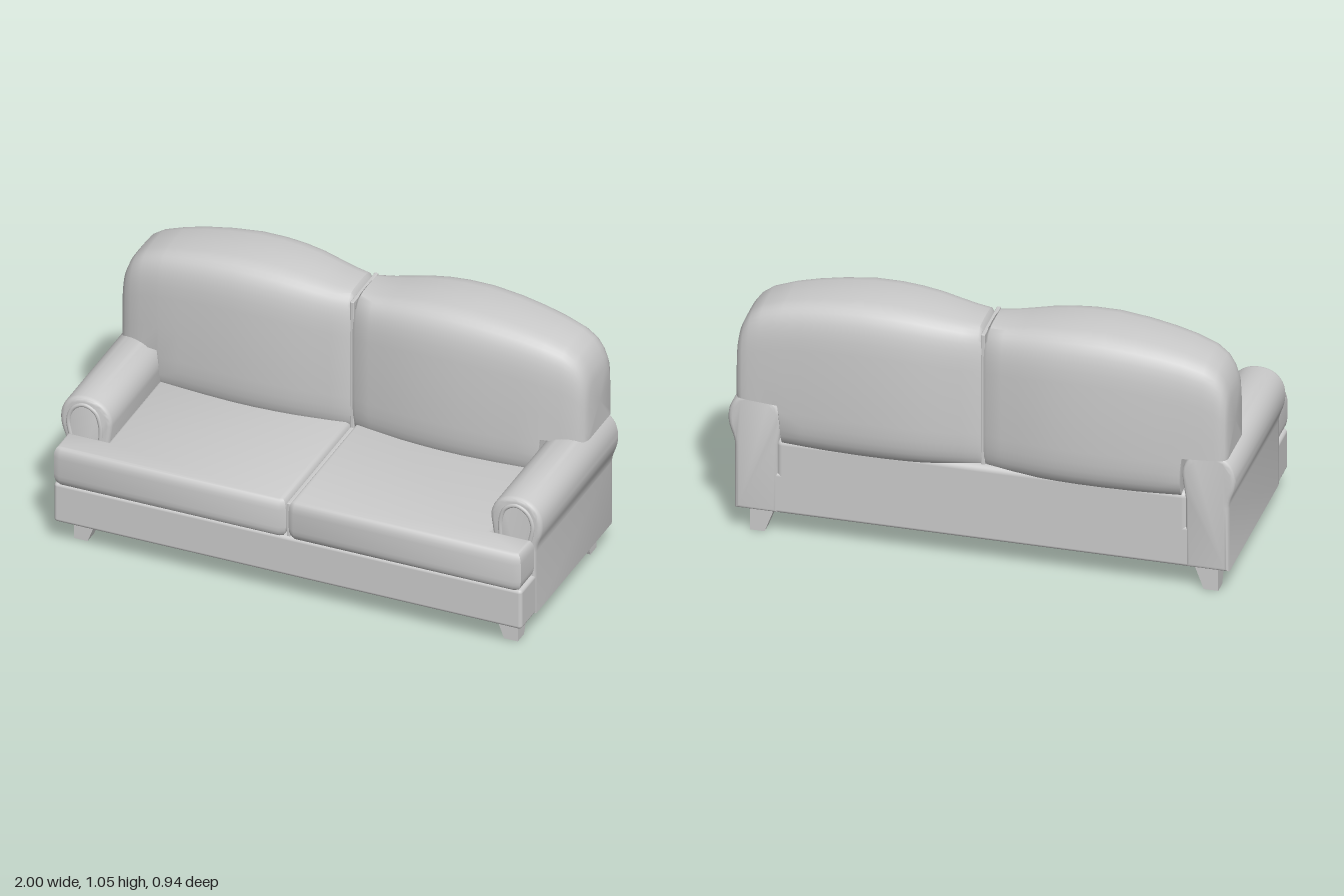
import * as THREE from 'three';
import { toCreasedNormals } from 'three/addons/utils/BufferGeometryUtils.js';
import { RoundedBoxGeometry } from 'three/addons/geometries/RoundedBoxGeometry.js';

const material = new THREE.MeshStandardMaterial({ color: 0xcccccc });

// Mirror a geometry in x, swapping corners so faces still point outwards
function mirrorX(geometry) {
  const g = geometry.index ? geometry.toNonIndexed() : geometry.clone();
  for (const name of ['position', 'normal']) {
    const a = g.attributes[name];
    for (let i = 0; i < a.count; i += 3) {
      const p = [0, 2, 1].map(k => [-a.getX(i + k), a.getY(i + k), a.getZ(i + k)]);
      p.forEach((v, k) => a.setXYZ(i + k, ...v));
    }
  }
  return g;
}

// Loft rounded-rectangle sections along x: [x, top, front z, back z, floor y]
function loft(sections, bottom, power, n = 40) {
  const pos = [], index = [];
  const soft = v => Math.sign(v) * Math.pow(Math.abs(v), 2 / power);
  for (const [x, top, zf, zb, floor = 0] of sections) {
    for (let j = 0; j < n; j++) {
      const a = (j / n) * Math.PI * 2;
      const y = (top + bottom) / 2 + soft(Math.sin(a)) * (top - bottom) / 2;
      pos.push(x, Math.max(y, floor), (zf + zb) / 2 + soft(Math.cos(a)) * (zf - zb) / 2);
    }
  }
  const last = sections.length - 1;
  for (let i = 0; i < last; i++) {
    for (let j = 0; j < n; j++) {
      const a = i * n + j, b = i * n + (j + 1) % n;
      index.push(a, a + n, b, b, a + n, b + n);
    }
  }
  // End caps
  for (const s of [0, last]) {
    const [x, top, zf, zb, floor = bottom] = sections[s];
    const c = pos.length / 3;
    pos.push(x, (top + floor) / 2, (zf + zb) / 2);
    for (let j = 0; j < n; j++) {
      const a = s * n + j, b = s * n + (j + 1) % n;
      index.push(c, ...(s ? [b, a] : [a, b]));
    }
  }
  const g = new THREE.BufferGeometry();
  g.setAttribute('position', new THREE.Float32BufferAttribute(pos, 3));
  g.setIndex(index);
  return toCreasedNormals(g, 0.8);
}

function backCushion() {
  return loft([
    [0.005, 0.985, -0.15, -0.4], [0.02, 1.005, -0.14, -0.41],
    [0.08, 1.01, -0.127, -0.425], [0.15, 1.022, -0.115, -0.44],
    [0.22, 1.035, -0.103, -0.455], [0.3, 1.045, -0.095, -0.465],
    [0.38, 1.05, -0.09, -0.47], [0.48, 1.05, -0.09, -0.47],
    [0.6, 1.038, -0.098, -0.463], [0.7, 1.022, -0.108, -0.453],
    [0.785, 1.003, -0.118, -0.443], [0.795, 1.0, -0.12, -0.442, 0.59],
    [0.87, 0.975, -0.132, -0.433, 0.59], [0.915, 0.945, -0.145, -0.427, 0.59],
    [0.94, 0.91, -0.156, -0.422, 0.59], [0.957, 0.87, -0.17, -0.415, 0.59],
    [0.966, 0.83, -0.195, -0.395, 0.59],
  ], 0.39, 4.5);
}

// T-shaped seat cushion that wraps in front of the arm
function seatCushion() {
  const s = new THREE.Shape([
    [0.006, -0.25], [0.8, -0.25], [0.8, 0.325], [0.968, 0.325],
    [0.968, 0.45], [0.94, 0.465], [0.03, 0.465], [0.006, 0.45],
  ].map(p => new THREE.Vector2(...p)));
  const g = new THREE.ExtrudeGeometry(s, {
    depth: 0.075, bevelThickness: 0.045, bevelSize: 0.02, bevelOffset: -0.02, bevelSegments: 4,
  });
  g.rotateX(Math.PI / 2).translate(0, 0.398, 0);
  return toCreasedNormals(g.deleteAttribute('uv'), 0.7);
}

// Rolled arm: upright panel with a bulging rounded top
function arm() {
  const s = new THREE.Shape();
  s.moveTo(0.8, 0.106);
  s.lineTo(0.972, 0.106);
  s.lineTo(0.972, 0.38);
  s.bezierCurveTo(0.975, 0.43, 0.998, 0.44, 0.998, 0.5);
  s.bezierCurveTo(0.998, 0.565, 0.955, 0.606, 0.895, 0.606);
  s.bezierCurveTo(0.83, 0.606, 0.785, 0.565, 0.785, 0.5);
  s.lineTo(0.8, 0.4);
  s.closePath();
  const g = new THREE.ExtrudeGeometry(s, {
    depth: 0.7, bevelThickness: 0.02, bevelSize: 0.018, bevelOffset: -0.018,
    bevelSegments: 4, curveSegments: 10,
  });
  g.translate(0, 0, -0.392);
  return toCreasedNormals(g.deleteAttribute('uv'), 0.7);
}

// Piping arch on the arm front
function armPiping() {
  const pts = [[0.83, 0.42], [0.83, 0.5], [0.85, 0.553], [0.895, 0.575],
    [0.94, 0.553], [0.962, 0.5], [0.95, 0.42]];
  const path = new THREE.CatmullRomCurve3(pts.map(([x, y]) => new THREE.Vector3(x, y, 0.326)));
  return new THREE.TubeGeometry(path, 36, 0.009, 8);
}

// Leg with upright outer sides, tapering in from the inner sides
function leg(front) {
  const g = new THREE.BoxGeometry(1, 1, 1);
  const p = g.attributes.position;
  for (let i = 0; i < p.count; i++) {
    const top = p.getY(i) > 0;
    const x = p.getX(i) > 0 ? 0.92 : top ? 0.82 : 0.863;
    const outer = p.getZ(i) > 0 === front;
    const z = outer ? 0.37 : top ? 0.265 : 0.312;
    p.setXYZ(i, x, top ? 0.115 : 0, front ? z : -z);
  }
  g.computeVertexNormals();
  return g;
}

export function createModel() {
  const sofa = new THREE.Group();
  sofa.name = 'sofa';
  const add = (name, geometry) => {
    const mesh = new THREE.Mesh(geometry, material);
    mesh.name = name;
    sofa.add(mesh);
  };
  const addPair = (name, geometry) => {
    add('left' + name, geometry);
    add('right' + name, mirrorX(geometry));
  };
  const addBox = (name, x, y0, y1, z0, z1, r) => add(name,
    new RoundedBoxGeometry(2 * x, y1 - y0, z1 - z0, 4, r).translate(0, (y0 + y1) / 2, (z0 + z1) / 2));

  // Frame
  addBox('base', 0.97, 0.106, 0.28, -0.408, 0.45, 0.015);
  addBox('backRail', 0.81, 0.11, 0.425, -0.408, -0.2, 0.025);
  // Filler behind the centre gaps
  addBox('backSeam', 0.008, 0.4, 0.985, -0.39, -0.155, 0.004);
  addBox('seatSeam', 0.008, 0.27, 0.425, -0.2, 0.44, 0.004);

  // Upholstery
  addPair('SeatCushion', seatCushion());
  addPair('BackCushion', backCushion());
  addPair('Arm', arm());
  addPair('ArmPiping', armPiping());

  // Legs
  addPair('FrontLeg', leg(true));
  addPair('BackLeg', leg(false));
  return sofa;
}
